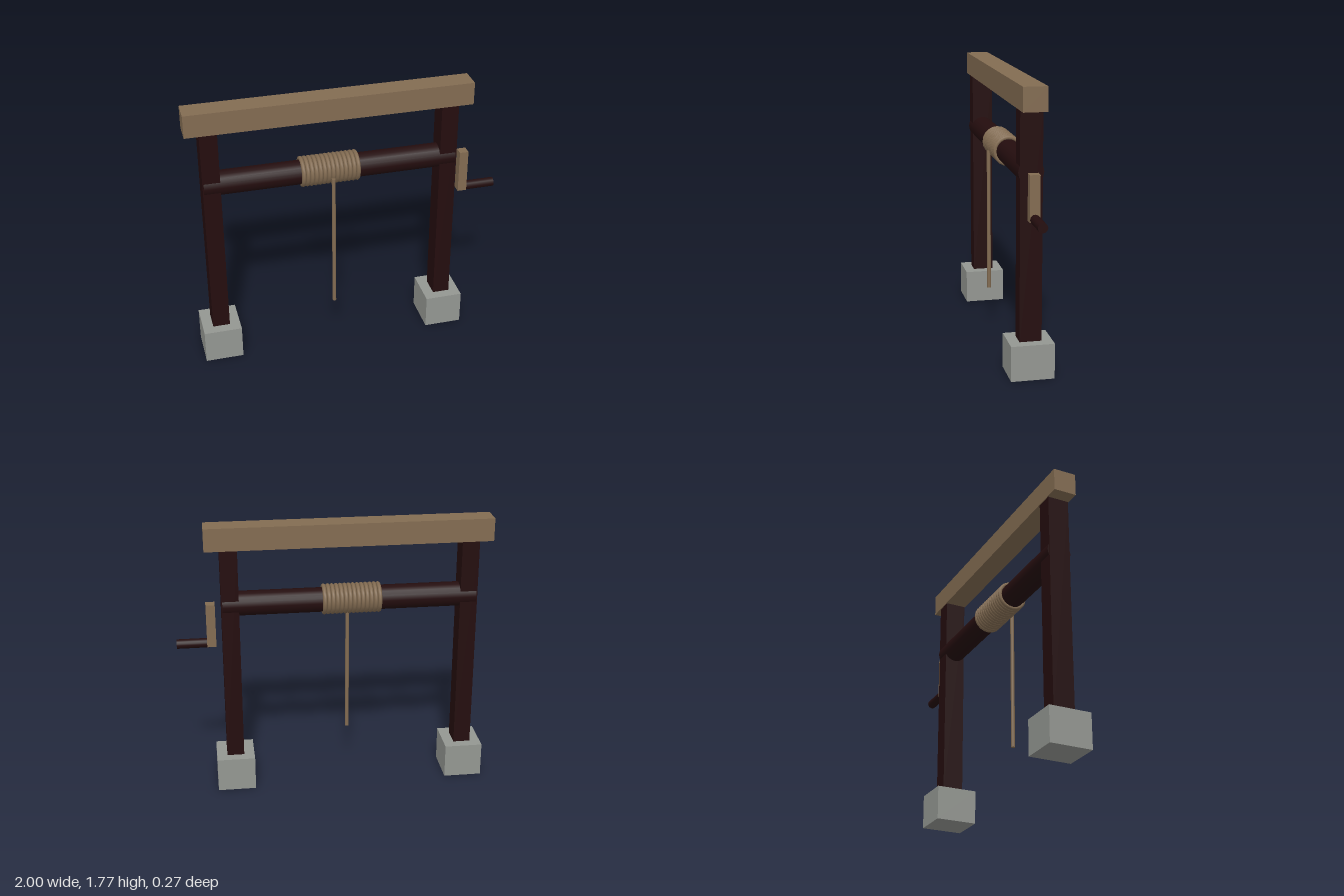
import * as THREE from 'three';

export function createModel() {
  const model = new THREE.Group();
  model.name = 'ropeWinch';

  const mat = (name, color) => {
    const m = new THREE.MeshStandardMaterial({ color });
    m.name = name;
    return m;
  };
  const lightWood = mat('lightWood', 0x836c52);
  const darkWood = mat('darkWood', 0x240d0e);
  const stone = mat('stone', 0x949792);

  const add = (name, geometry, material, x, y, z = 0) => {
    const mesh = new THREE.Mesh(geometry, material);
    mesh.name = name;
    mesh.position.set(x, y, z);
    model.add(mesh);
    return mesh;
  };
  const box = (w, h, d) => new THREE.BoxGeometry(w, h, d);
  // Cylinder lying along x
  const rod = (radius, length) =>
    new THREE.CylinderGeometry(radius, radius, length, 16).rotateZ(Math.PI / 2);

  // Frame: two posts on stone feet with a beam across the top
  for (const [side, x] of [['right', -0.857], ['left', 0.657]]) {
    add(side + 'Foot', box(0.245, 0.222, 0.268), stone, x, 0.111);
    add(side + 'Post', box(0.11, 1.43, 0.136), darkWood, x, 0.92);
  }
  add('topBeam', box(1.805, 0.146, 0.146), lightWood, -0.0975, 1.698);

  // Axle set into both posts
  add('axle', rod(0.078, 1.61), darkWood, -0.1, 1.26);

  // Wound rope and its hanging end
  const coil = new THREE.TorusGeometry(0.085, 0.0135, 8, 20).rotateY(Math.PI / 2);
  for (let i = 0; i < 14; i++) {
    add('ropeCoil' + (i + 1), coil, lightWood, -0.284 + i * 0.0268, 1.262);
  }
  add('hangingRope', new THREE.CylinderGeometry(0.0125, 0.0125, 0.925, 12), lightWood, -0.1, 0.7725, 0.094);

  // Crank on the left end
  add('crankArm', box(0.058, 0.282, 0.062), lightWood, 0.78, 1.124);
  add('crankHandle', rod(0.03, 0.22), darkWood, 0.89, 1.002);

  return model;
}
